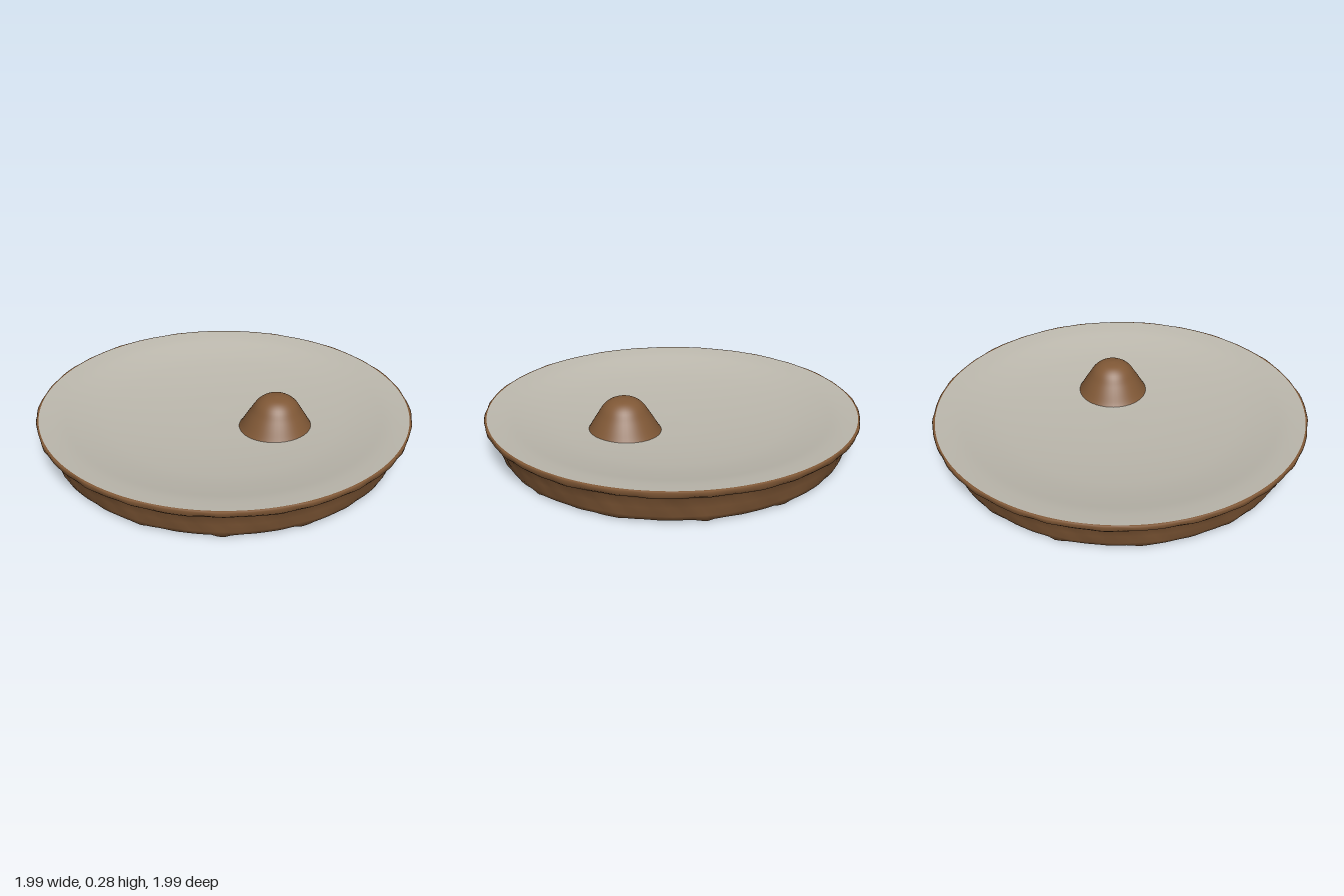
import * as THREE from 'three';
import { mergeVertices } from 'three/addons/utils/BufferGeometryUtils.js';

const V = (x, y) => new THREE.Vector2(x, y);

// Small irregular ripple around the dish; whole-number frequencies close the loop
const ripple = (a) =>
  0.4 * Math.sin(13 * a + 1) + 0.35 * Math.sin(29 * a + 2.3) + 0.25 * Math.sin(47 * a + 0.7);

// Lathe with an optional rule that moves each vertex, then smooth seamless normals
function turned(points, segments, rule) {
  const g = new THREE.LatheGeometry(points, segments);
  g.deleteAttribute('uv');
  g.deleteAttribute('normal');
  const p = g.attributes.position;
  if (rule) {
    for (let i = 0; i < p.count; i++) {
      const x = p.getX(i), z = p.getZ(i);
      const r = Math.hypot(x, z), a = Math.atan2(z, x);
      const [nr, ny] = rule(r, p.getY(i), a);
      p.setXYZ(i, nr * Math.cos(a), ny, nr * Math.sin(a));
    }
  }
  const merged = mergeVertices(g, 1e-5);
  merged.computeVertexNormals();
  return merged;
}

// Smooth profile through a few points, clamped to the axis
const smooth = (points) =>
  new THREE.SplineCurve(points).getPoints(24).map((p) => V(Math.max(0, p.x), p.y));

export function createModel() {
  const group = new THREE.Group();
  const brown = new THREE.MeshStandardMaterial({ color: 0x805836 });
  const grey = new THREE.MeshStandardMaterial({ color: 0xbdb9ae });
  brown.name = 'earthBrown';
  grey.name = 'paleGrey';

  const add = (name, geometry, material) => {
    const mesh = new THREE.Mesh(geometry, material);
    mesh.name = name;
    group.add(mesh);
    return mesh;
  };

  // Flat underside
  add('base', turned([V(0, 0.02), V(0.912, 0.02)], 96), brown);

  // Rough sloping wall, with a ragged foot hanging just below the base
  const wall = [V(0.9, 0.02), V(0.915, 0.016), V(0.926, 0.04), V(0.938, 0.09), V(0.953, 0.14), V(0.968, 0.162)];
  add('wall', turned(wall, 192, (r, y, a) => {
    const drip = y < 0.018 ? Math.max(0, ripple(a) - 0.35) * 0.016 : 0;
    return [r + ripple(a + y * 2) * 0.004, y - drip];
  }), brown);

  // Overhanging lip
  const lip = [V(0.955, 0.158), V(0.982, 0.163), V(0.993, 0.175), V(0.996, 0.195), V(0.992, 0.2), V(0.984, 0.2)];
  add('lip', turned(lip, 192, (r, y, a) => [
    r > 0.99 ? r + ripple(a) * 0.004 : r,
    y < 0.18 ? y + ripple(a + 1) * 0.004 : y,
  ]), brown);

  // Bowl-shaped top surface, easing flatter towards the rim
  const dish = [V(0.988, 0.2), V(0.89, 0.187), V(0.8, 0.168), V(0.7, 0.149), V(0.6, 0.135),
    V(0.45, 0.12), V(0.25, 0.108), V(0, 0.103)];
  add('dishSurface', turned(smooth(dish), 96), grey);

  // Off-centre bell-shaped mound
  const profile = [V(0.205, 0.095), V(0.188, 0.118), V(0.16, 0.165), V(0.136, 0.203),
    V(0.104, 0.25), V(0.06, 0.28), V(0, 0.29)];
  const mound = add('mound', turned(smooth(profile), 48), brown);
  mound.position.set(0.287, 0, 0.08);

  return group;
}
